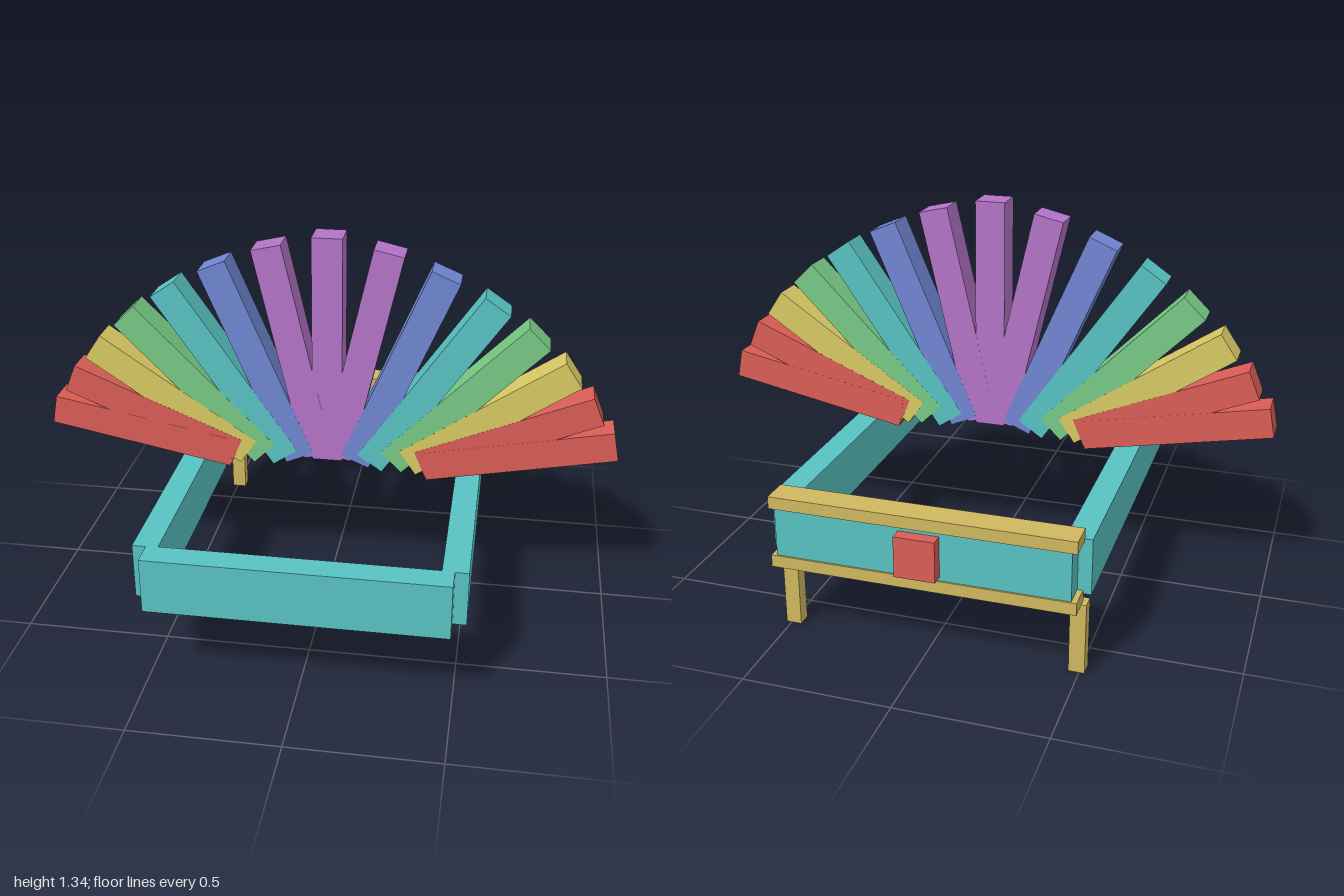
import * as THREE from 'three';

const material = (name, color) => {
  const m = new THREE.MeshStandardMaterial({ color });
  m.name = name;
  return m;
};

export function createModel() {
  const model = new THREE.Group();
  model.name = 'fanBackedFrame';

  const red = material('red', 0xd95d56);
  const yellow = material('yellow', 0xd8c964);
  const green = material('green', 0x78c985);
  const teal = material('teal', 0x59c2c2);
  const blue = material('blue', 0x7086d2);
  const purple = material('purple', 0xb474c8);
  const wood = material('wood', 0xd0b85f);

  // Box given by its extents on each axis
  const box = (name, mat, [x0, x1], [y0, y1], [z0, z1], parent = model) => {
    const mesh = new THREE.Mesh(new THREE.BoxGeometry(x1 - x0, y1 - y0, z1 - z0), mat);
    mesh.position.set((x0 + x1) / 2, (y0 + y1) / 2, (z0 + z1) / 2);
    mesh.name = name;
    parent.add(mesh);
    return mesh;
  };

  // Open rectangular frame
  const frame = new THREE.Group();
  frame.name = 'frame';
  model.add(frame);
  const railY = [0.295, 0.485];
  box('leftRail', teal, [0.45, 0.535], railY, [-0.66, 0.695], frame);
  box('rightRail', teal, [-0.535, -0.45], railY, [-0.66, 0.695], frame);
  box('frontRail', teal, [-0.49, 0.49], railY, [0.69, 0.778], frame);
  box('backRail', teal, [-0.49, 0.49], railY, [-0.737, -0.655], frame);

  // Trim strips above and below the back rail, with a small block between
  box('upperTrim', wood, [-0.508, 0.508], [0.473, 0.515], [-0.743, -0.648]);
  box('lowerTrim', wood, [-0.508, 0.508], [0.264, 0.306], [-0.743, -0.648]);
  box('backBlock', red, [-0.068, 0.068], [0.32, 0.46], [-0.78, -0.735]);

  // Two short back legs
  box('leftLeg', wood, [0.465, 0.518], [0, 0.247], [-0.648, -0.6]);
  box('rightLeg', wood, [-0.518, -0.465], [0, 0.247], [-0.648, -0.6]);

  // Fan of slats: material, tilt in degrees, centre of the outer end, length
  const fan = new THREE.Group();
  fan.name = 'fan';
  model.add(fan);
  const slats = [
    [purple, 0, 0, 1.34, 0.81],
    [purple, 13, 0.205, 1.298, 0.775],
    [blue, 23, 0.393, 1.225, 0.755],
    [teal, 34.5, 0.566, 1.134, 0.735],
    [green, 44.5, 0.708, 1.03, 0.69],
    [yellow, 56, 0.828, 0.908, 0.658],
    [red, 67.5, 0.92, 0.783, 0.643],
    [red, 79, 0.988, 0.657, 0.66],
  ];
  slats.forEach(([mat, tilt, x, y, length], i) => {
    const a = THREE.MathUtils.degToRad(tilt);
    for (const side of i ? [1, -1] : [1]) {
      // outer slats are a hair deeper so overlapping faces stay clean
      const slat = new THREE.Mesh(new THREE.BoxGeometry(0.104, length, 0.103 + i * 0.0008), mat);
      slat.position.set(
        side * (x - Math.sin(a) * length / 2),
        y - Math.cos(a) * length / 2,
        0.055,
      );
      slat.rotation.z = -side * a;
      slat.name = i === 0 ? 'centreSlat' : (side > 0 ? 'leftSlat' : 'rightSlat') + i;
      fan.add(slat);
    }
  });

  return model;
}
